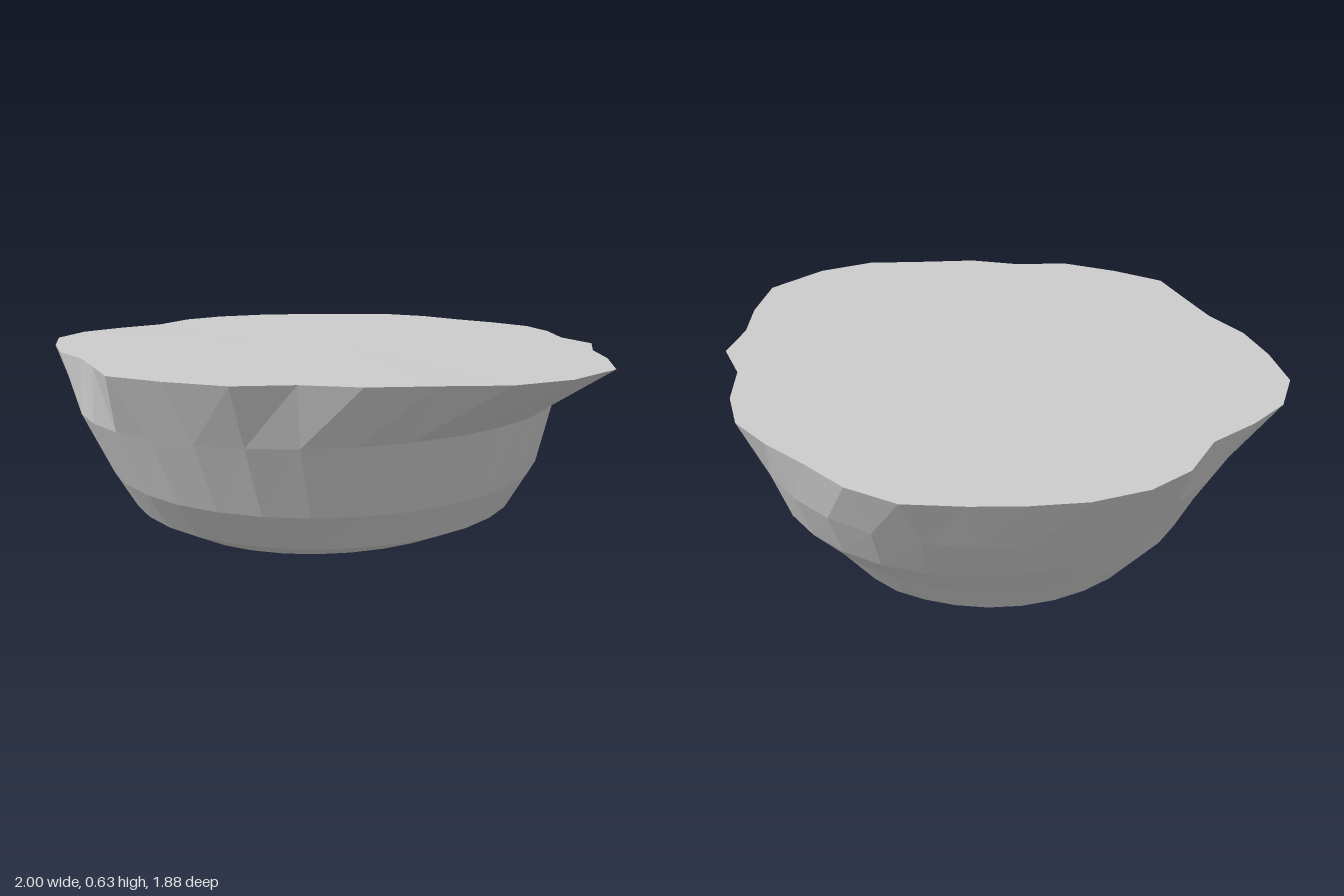
import * as THREE from 'three';

// Uneven rim outline, as [x, z] pairs going round from the left side to the front
const RIM = [
  [1, .14], [.94, .38], [.82, .55], [.64, .66], [.47, .77], [.29, .82], [.13, .92], [-.08, .94],
  [-.28, .93], [-.43, .8], [-.56, .69], [-.72, .6], [-.85, .47], [-.97, .31], [-1, .13], [-.96, -.03],
  [-.89, -.2], [-.89, -.39], [-.83, -.54], [-.71, -.68], [-.57, -.78], [-.43, -.86], [-.26, -.94], [-.08, -.94],
  [.09, -.89], [.26, -.85], [.42, -.79], [.54, -.67], [.64, -.51], [.78, -.4], [.83, -.23], [.92, -.07],
];
const N = RIM.length;
const angle = (i) => (i / N) * Math.PI * 2 + 0.14;

// Lower cross-sections: centre x/z, radius x/z, height, height tilt along x and z
const RINGS = [
  { cx: -.075, cz: -.03, rx: .545, rz: .55, y: .023, tx: 0, tz: .002, wave: .008 },
  { cx: -.05, cz: .015, rx: .66, rz: .675, y: .112, tx: -.01, tz: -.014, wave: .004 },
  { cx: -.045, cz: 0, rx: .725, rz: .785, y: .24, tx: -.012, tz: -.02, wave: 0 },
  { cx: -.07, cz: 0, rx: .8, rz: .87, y: .436, tx: .006, tz: .004, wave: .003 },
];

function ringPoints({ cx, cz, rx, rz, y, tx, tz, wave }) {
  return RIM.map((_, i) => {
    const a = angle(i), c = Math.cos(a), s = Math.sin(a);
    return [cx + rx * c, y + tx * c + tz * s + wave * Math.cos(2 * a), cz + rz * s];
  });
}

function makeMesh(name, triangles) {
  const geometry = new THREE.BufferGeometry();
  geometry.setAttribute('position', new THREE.Float32BufferAttribute(triangles.flat(), 3));
  geometry.computeVertexNormals();
  const mesh = new THREE.Mesh(geometry, new THREE.MeshStandardMaterial({ color: 0xcccccc, flatShading: true }));
  mesh.name = name;
  return mesh;
}

// Fan closing a ring, facing up or down
function cap(ring, centre, up) {
  return ring.flatMap((p, i) => {
    const q = ring[(i + 1) % N];
    return up ? [centre, q, p] : [centre, p, q];
  });
}

export function createModel() {
  const group = new THREE.Group();
  group.name = 'rockIsland';

  const rim = RIM.map(([x, z], i) => [x, .62 + .011 * Math.cos(angle(i) - 1), z]);
  const rings = [...RINGS.map(ringPoints), rim];
  // A low lump at the back of the foot
  for (const [i, p] of rings[0].entries()) {
    const d = angle(i) - 5.0;
    p[1] -= .015 * Math.exp(-d * d * 12);
  }

  // Faceted flank joining the rings
  const sides = [];
  for (let r = 0; r < rings.length - 1; r++) {
    for (let i = 0; i < N; i++) {
      const j = (i + 1) % N;
      const [a, b, c, d] = [rings[r][i], rings[r][j], rings[r + 1][j], rings[r + 1][i]];
      sides.push(a, d, b, b, d, c);
    }
  }
  group.add(makeMesh('rockSides', sides));
  group.add(makeMesh('flatTop', cap(rim, [0, .62, 0], true)));
  group.add(makeMesh('underside', cap(rings[0], [-.075, .022, -.03], false)));
  return group;
}
